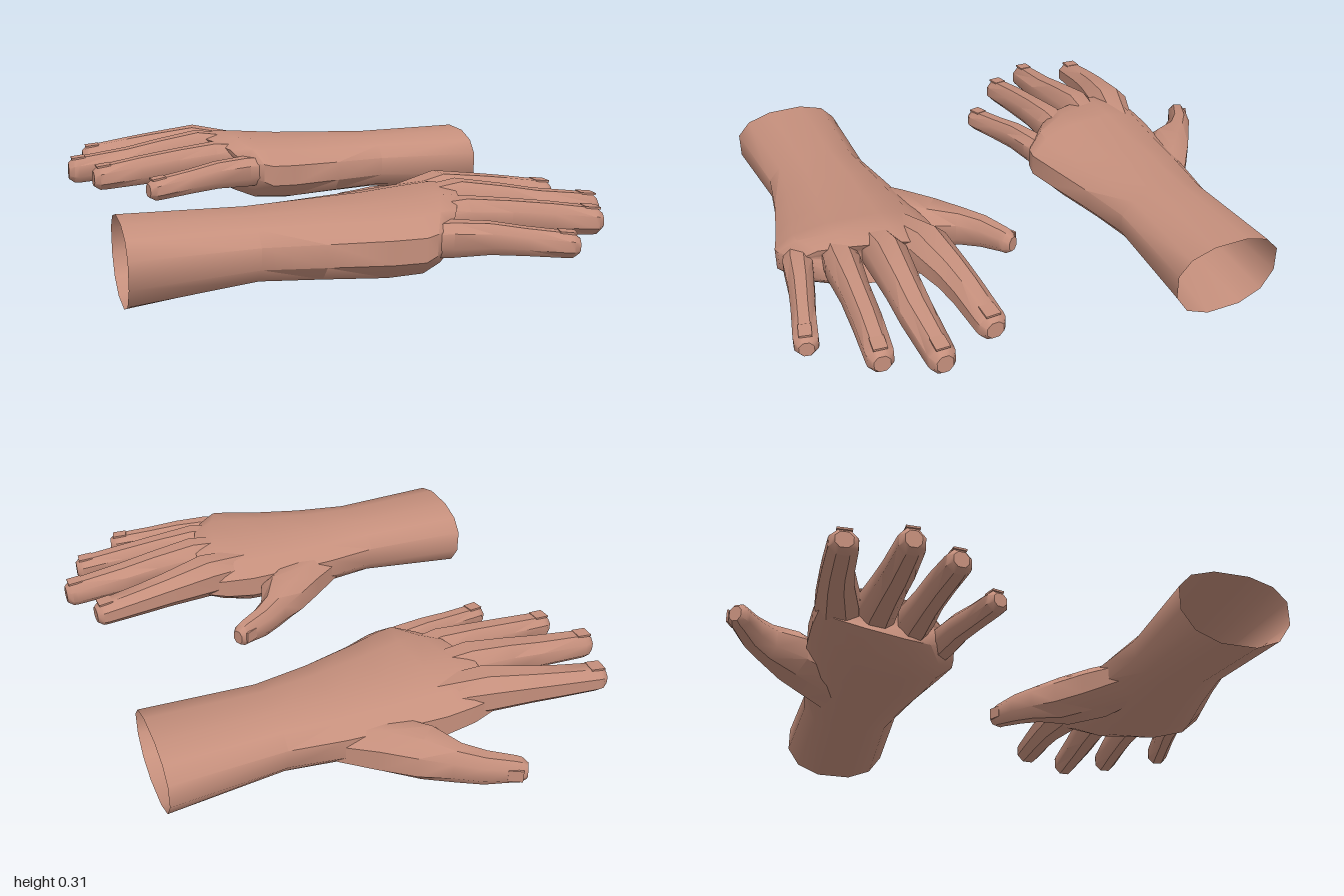
import * as THREE from 'three';
import { toCreasedNormals } from 'three/addons/utils/BufferGeometryUtils.js';

const skin = new THREE.MeshStandardMaterial({ color: 0xc58f7c, side: THREE.DoubleSide });
skin.name = 'skin';

// Section: [x, y, z, half width, height above y, depth below y, forward edge sweep]
const PALM = [
  [-0.81, 0.16, 0.62, 0.2, 0.115, 0.155, 0],
  [-0.4, 0.165, 0.617, 0.183, 0.105, 0.112, 0],
  [-0.2, 0.167, 0.62, 0.215, 0.11, 0.12, 0],
  [0, 0.175, 0.635, 0.25, 0.112, 0.132, 0],
  [0.15, 0.182, 0.642, 0.272, 0.118, 0.125, 0.05],
  [0.26, 0.192, 0.642, 0.27, 0.116, 0.1, 0.12],
  [0.345, 0.205, 0.62, 0.235, 0.085, 0.07, 0.17],
];

const DIGITS = {
  indexFinger: [
    [0.16, 0.21, 0.49, 0.06, 0.07, 0.06],
    [0.33, 0.235, 0.445, 0.077, 0.075, 0.08],
    [0.5, 0.222, 0.418, 0.059, 0.062, 0.062],
    [0.6, 0.212, 0.408, 0.053, 0.056, 0.056],
    [0.75, 0.197, 0.4, 0.049, 0.046, 0.048],
  ],
  middleFinger: [
    [0.16, 0.22, 0.6, 0.055, 0.07, 0.06],
    [0.34, 0.24, 0.59, 0.068, 0.075, 0.08],
    [0.5, 0.225, 0.596, 0.058, 0.064, 0.064],
    [0.63, 0.208, 0.6, 0.054, 0.056, 0.056],
    [0.825, 0.188, 0.6, 0.045, 0.05, 0.05],
  ],
  ringFinger: [
    [0.12, 0.21, 0.72, 0.05, 0.065, 0.06],
    [0.3, 0.228, 0.735, 0.06, 0.065, 0.075],
    [0.45, 0.217, 0.744, 0.049, 0.06, 0.06],
    [0.6, 0.205, 0.754, 0.047, 0.053, 0.055],
    [0.745, 0.19, 0.768, 0.044, 0.046, 0.047],
  ],
  littleFinger: [
    [0.05, 0.19, 0.82, 0.045, 0.05, 0.05],
    [0.2, 0.202, 0.863, 0.05, 0.052, 0.062],
    [0.32, 0.197, 0.887, 0.043, 0.05, 0.052],
    [0.43, 0.185, 0.914, 0.039, 0.044, 0.046],
    [0.56, 0.172, 0.945, 0.04, 0.04, 0.042],
  ],
  thumb: [
    [-0.24, 0.14, 0.53, 0.08, 0.06, 0.07],
    [-0.06, 0.14, 0.42, 0.1, 0.085, 0.09],
    [0.05, 0.14, 0.32, 0.088, 0.082, 0.09],
    [0.12, 0.145, 0.23, 0.052, 0.062, 0.072],
    [0.19, 0.145, 0.172, 0.043, 0.055, 0.06],
    [0.275, 0.145, 0.127, 0.035, 0.045, 0.045],
  ],
};

// Horizontal heading of a path at section i
function heading(sections, i) {
  const a = sections[Math.max(i - 1, 0)], b = sections[Math.min(i + 1, sections.length - 1)];
  return new THREE.Vector2(b[0] - a[0], b[2] - a[2]).normalize();
}

// Skin over rounded cross-sections, open at the start and closed at the end
function loft(sections, sides, power, mirror, alongX = false) {
  const pos = [], index = [], sx = mirror ? -1 : 1;
  const tri = (a, b, c) => (mirror ? index.push(a, c, b) : index.push(a, b, c));
  const round = (v) => Math.sign(v) * Math.abs(v) ** (2 / power);
  sections.forEach(([x, y, z, w, top, bottom, sweep = 0], i) => {
    const d = alongX ? new THREE.Vector2(1, 0) : heading(sections, i);
    for (let j = 0; j < sides; j++) {
      const a = ((j + 0.5) / sides) * Math.PI * 2;
      const c = round(Math.cos(a)) * w / round(Math.cos(Math.PI / sides));
      const s = round(Math.sin(a)) / round(Math.cos(Math.PI / sides));
      const pz = z + d.x * c;
      const px = x - d.y * c - sweep * Math.max(0, (pz - 0.45) / 0.45) ** 2;
      pos.push(px * sx, y + s * (s > 0 ? top : bottom), pz);
    }
  });
  for (let i = 0; i < sections.length - 1; i++) {
    for (let j = 0; j < sides; j++) {
      const k = (j + 1) % sides, a = i * sides, b = a + sides;
      tri(a + j, b + j, a + k);
      tri(b + j, b + k, a + k);
    }
  }
  const last = (sections.length - 1) * sides;
  for (let j = 1; j < sides - 1; j++) tri(last, last + j + 1, last + j);
  const g = new THREE.BufferGeometry();
  g.setAttribute('position', new THREE.Float32BufferAttribute(pos, 3));
  g.setIndex(index);
  return toCreasedNormals(g, 0.75);
}

// Blunt bevelled fingertip beyond the last section
function withTip(sections) {
  const n = sections.length - 1, d = heading(sections, n);
  const [x, y, z, w, t, b] = sections[n];
  const step = (s, k) => [x + d.x * s, y - s * 0.1, z + d.y * s, w * k, t * k, b * k];
  return [...sections, step(0.018, 0.95), step(0.04, 0.6)];
}

function createHand(name, mirror) {
  const hand = new THREE.Group();
  hand.name = name;
  const sx = mirror ? -1 : 1;
  const add = (geometry, part) => {
    const m = new THREE.Mesh(geometry, skin);
    m.name = part;
    hand.add(m);
    return m;
  };
  add(loft(PALM, 12, 2.35, mirror, true), 'palmAndForearm');
  for (const [part, sections] of Object.entries(DIGITS)) {
    add(loft(withTip(sections), 8, 2.2, mirror), part);
    // Thin nail plate; the thumb's lies on its outer side
    const n = sections.length - 1, d = heading(sections, n);
    const [x, y, z, w, t] = sections[n];
    const isThumb = part === 'thumb';
    const out = isThumb ? -w : 0;
    const nail = add(
      isThumb ? new THREE.BoxGeometry(0.05, 0.045, 0.007) : new THREE.BoxGeometry(0.055, 0.007, w * 1.05),
      part + 'Nail');
    nail.position.set((x - d.y * out) * sx, isThumb ? y : y + t, z + d.x * out);
    nail.rotation.set(0, -Math.atan2(d.y, d.x) * sx, isThumb ? 0 : -0.1 * sx);
  }
  return hand;
}

export function createModel() {
  const model = new THREE.Group();
  model.name = 'pairOfHands';
  const back = createHand('backHand', true);
  back.position.set(-0.005, 0.003, -1.09);
  model.add(createHand('frontHand', false), back);
  return model;
}
